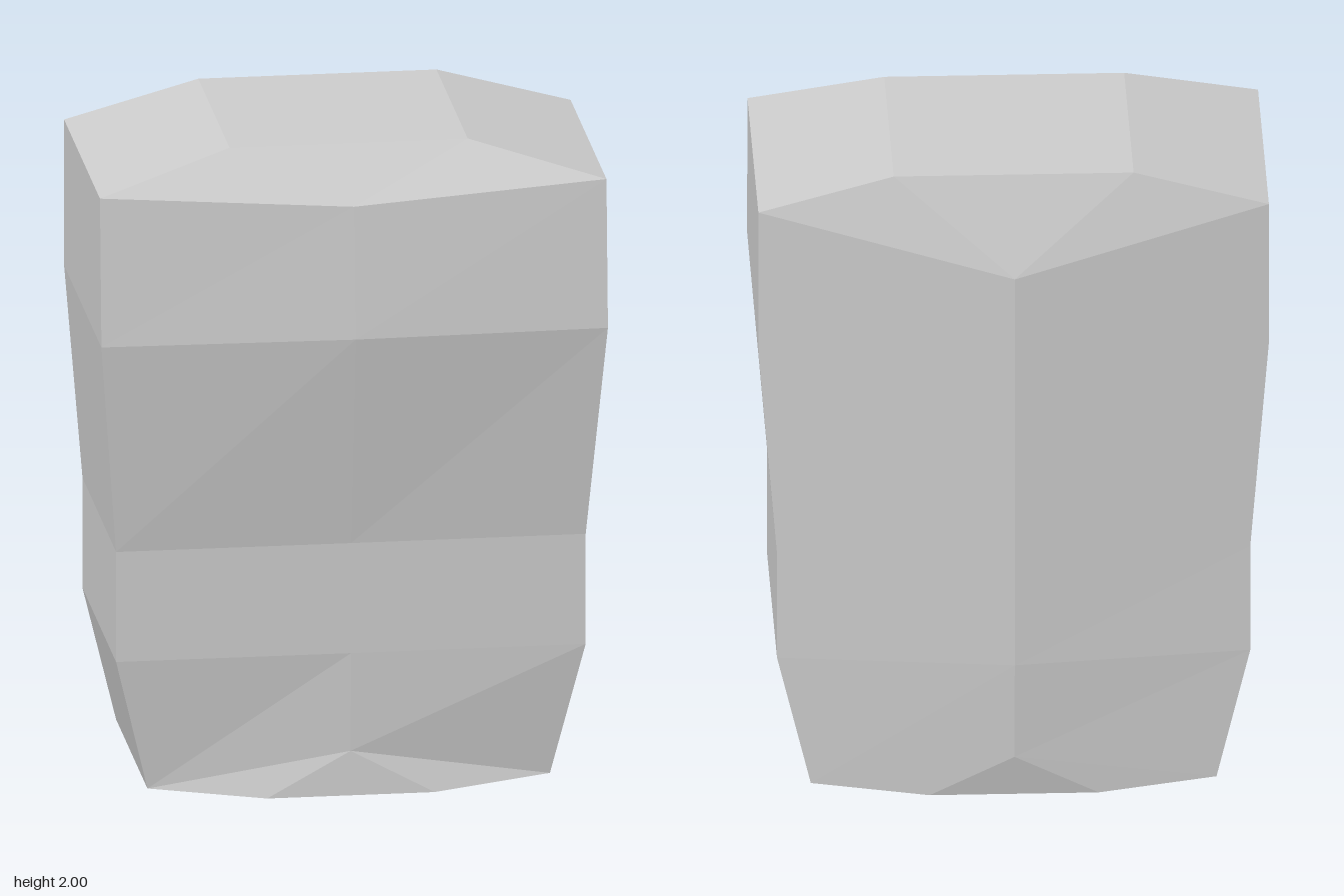
import * as THREE from 'three';

// Rings from bottom to top: side edges, then the front and back centre ridges
const RINGS = [
  { y: 0.03, x: 0.6, zf: 0.32, zb: -0.385, front: [0.135, 0.362], back: [0.135, -0.452] },
  { y: 0.44, x: 0.7, zf: 0.37, zb: -0.385, front: [0.44, 0.372], back: [0.44, -0.467] },
  { y: 0.78, x: 0.7, zf: 0.37, zb: -0.385, front: [0.78, 0.372], back: [0.78, -0.47] },
  { y: 1.44, x: 0.755, zf: 0.455, zb: -0.385, front: [1.44, 0.475], back: [1.44, -0.474] },
  { y: 1.89, x: 0.755, zf: 0.422, zb: -0.385, front: [1.84, 0.44], back: [1.7, -0.475] },
];

// Six points, counter-clockwise seen from above, starting at the front right
const ringPoints = ({ y, x, zf, zb, front, back }) => [
  [-x, y, zf], [0, ...front], [x, y, zf],
  [x, y, zb], [0, ...back], [-x, y, zb],
];

const plate = (x, y, zf, zb) => [[-x, y, zf], [x, y, zf], [x, y, zb], [-x, y, zb]];

export function createModel() {
  const grey = new THREE.MeshStandardMaterial({ color: 0xcccccc });
  grey.name = 'light grey';
  const positions = [];

  // Adds a polygon as a fan around its first corner
  const face = (points, flip = false) => {
    for (let i = 1; i < points.length - 1; i++) {
      const [b, c] = flip ? [points[i + 1], points[i]] : [points[i], points[i + 1]];
      positions.push(...points[0], ...b, ...c);
    }
  };

  // Chamfered end joining a ring to a smaller flat plate
  const cap = (r, p, flip) => {
    face([r[1], r[2], p[1], p[0], r[0]], flip); // front chamfer
    face([r[2], r[3], p[2], p[1]], flip);       // left slope
    face([r[4], r[5], p[3], p[2], r[3]], flip); // back chamfer
    face([r[5], r[0], p[0], p[3]], flip);       // right slope
    face(p, flip);                              // flat end
  };

  // Walls, split at the centre ridges
  const rings = RINGS.map(ringPoints);
  for (let k = 0; k < rings.length - 1; k++) {
    const lo = rings[k], hi = rings[k + 1];
    for (let i = 0; i < 6; i++) {
      const j = (i + 1) % 6;
      face([lo[i], lo[j], hi[j], hi[i]]);
    }
  }
  cap(rings[rings.length - 1], plate(0.355, 2, 0.318, -0.385), false);
  cap(rings[0], plate(0.25, 0, 0.37, -0.42), true);

  // Unshared corners give flat facets
  const geometry = new THREE.BufferGeometry();
  geometry.setAttribute('position', new THREE.Float32BufferAttribute(positions, 3));
  geometry.computeVertexNormals();

  const body = new THREE.Mesh(geometry, grey);
  body.name = 'body';
  const group = new THREE.Group();
  group.name = 'facetedBlock';
  group.add(body);
  return group;
}
